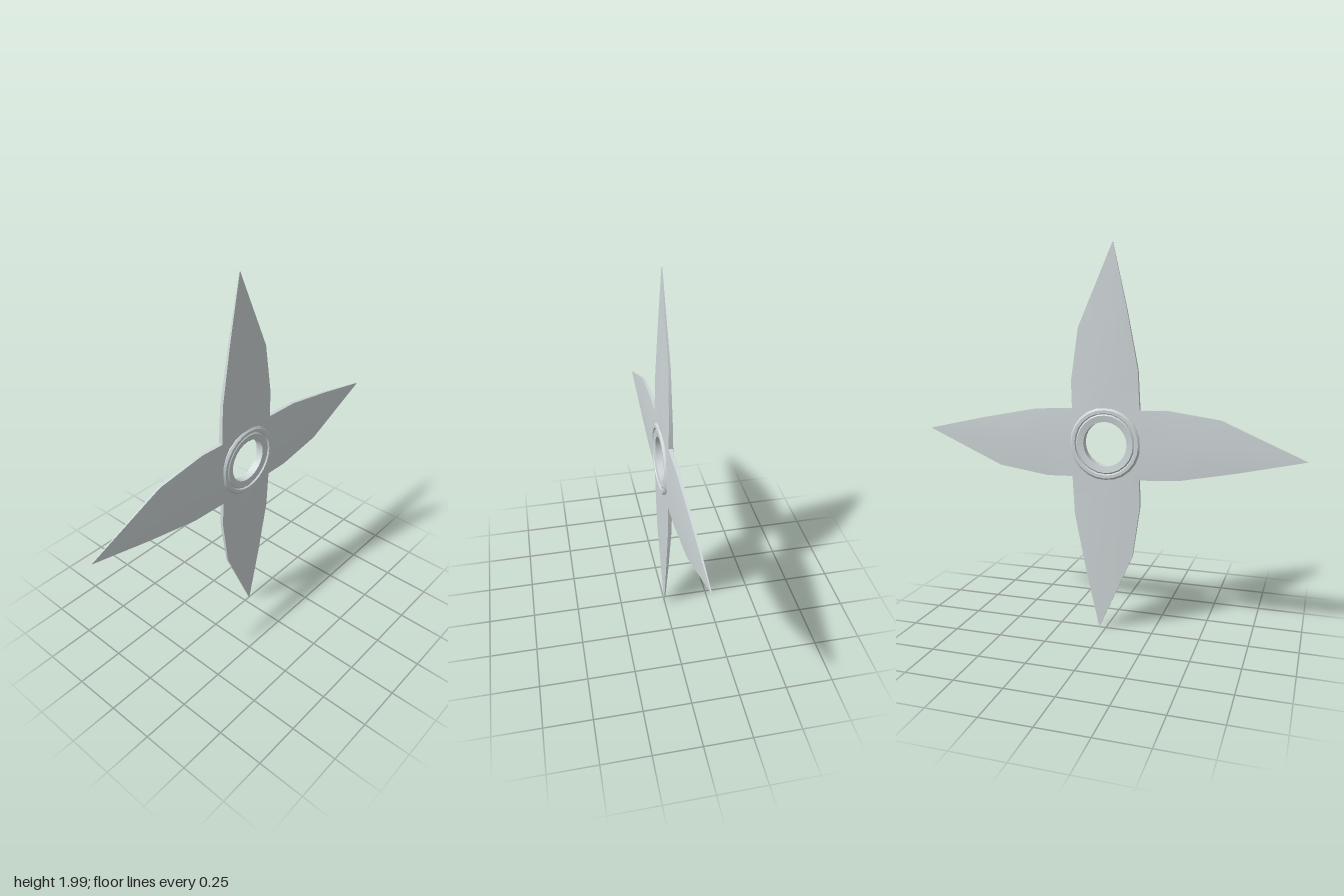
import * as THREE from 'three';
import { mergeGeometries, toCreasedNormals } from 'three/addons/utils/BufferGeometryUtils.js';

const steel = new THREE.MeshStandardMaterial({ color: 0xd0d8d9 });
steel.name = 'steelGrey';

// Cross-sections from root to tip: left edge, ridge, right edge (x, y), ridge and edge half thickness
const sections = [
  { l: [-0.113, 0.113], m: [0, 0.153], r: [0.113, 0.113], ridge: 0.021, edge: 0.015 },
  { l: [-0.178, 0.178], m: [0, 0.19], r: [0.178, 0.178], ridge: 0.021, edge: 0.011 },
  { l: [-0.167, 0.38], m: [-0.003, 0.35], r: [0.183, 0.315], ridge: 0.018, edge: 0.009 },
  { l: [-0.11, 0.67], m: [-0.015, 0.63], r: [0.145, 0.585], ridge: 0.012, edge: 0.006 },
  { l: [-0.036, 0.996], m: [-0.035, 0.997], r: [-0.034, 0.996], ridge: 0.002, edge: 0.002 },
];

function bladeGeometry() {
  const points = [];
  const index = [];
  for (const { l, m, r, ridge, edge } of sections) {
    points.push(...l, edge, ...m, ridge, ...r, edge, ...r, -edge, ...m, -ridge, ...l, -edge);
  }
  for (let i = 0; i < sections.length - 1; i++) {
    for (let k = 0; k < 6; k++) {
      // The root has no side walls, as it joins the neighbouring blades
      if (i === 0 && k % 3 === 2) continue;
      const a = i * 6 + k;
      const b = i * 6 + ((k + 1) % 6);
      index.push(a, b, b + 6, a, b + 6, a + 6);
    }
  }
  const geometry = new THREE.BufferGeometry();
  geometry.setAttribute('position', new THREE.Float32BufferAttribute(points, 3));
  geometry.setIndex(index);
  return geometry;
}

// Closed ring profile with a groove on each face
function ringGeometry() {
  const face = [[0.115, 0.02], [0.148, 0.025], [0.155, 0.019], [0.16, 0.028], [0.176, 0.028], [0.186, 0.019]];
  const profile = [
    ...face.map(([r, h]) => [r, -h]),
    ...face.slice().reverse(),
    [face[0][0], -face[0][1]],
  ].map(([r, h]) => new THREE.Vector2(r, h));
  return new THREE.LatheGeometry(profile, 24).rotateX(Math.PI / 2);
}

export function createModel() {
  const model = new THREE.Group();
  model.name = 'throwingStar';

  // Four blades, a quarter turn apart, joined at their roots
  const quarters = [0, 1, 2, 3].map((i) => bladeGeometry().rotateZ(-i * Math.PI / 2));
  const blades = new THREE.Mesh(toCreasedNormals(mergeGeometries(quarters), 0.5), steel);
  blades.name = 'blades';

  // Grooved ring around the centre hole
  const ring = new THREE.Mesh(toCreasedNormals(ringGeometry(), 0.5), steel);
  ring.name = 'centreRing';

  for (const part of [blades, ring]) {
    part.position.y = 1;
    model.add(part);
  }
  return model;
}
